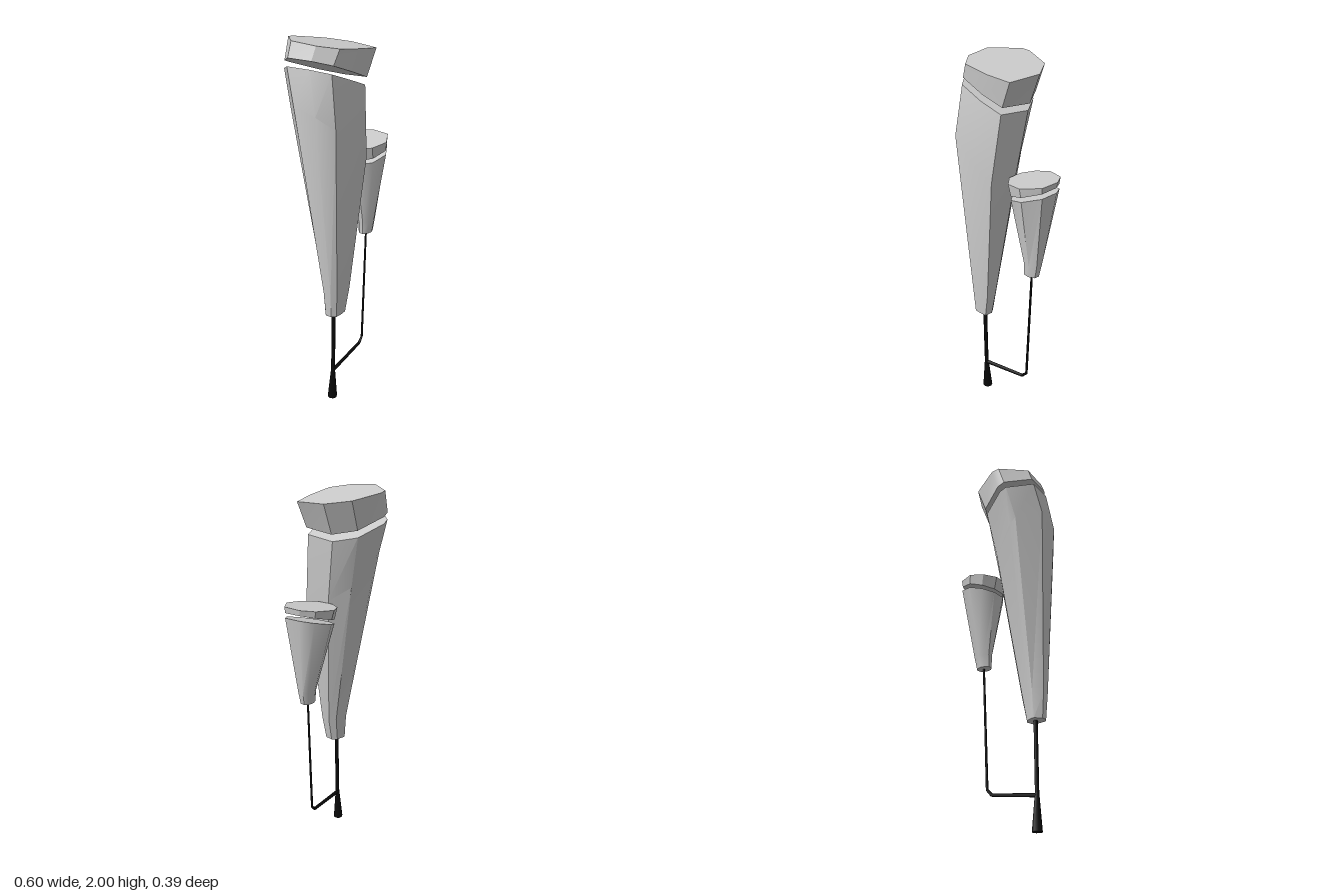
import * as THREE from 'three';
import { toCreasedNormals } from 'three/addons/utils/BufferGeometryUtils.js';

const grey = new THREE.MeshStandardMaterial({ color: 0xcccccc });
const black = new THREE.MeshStandardMaterial({ color: 0x0a0a0a });

// Irregular outlines (x, z), refitted to the bounds of every section
const LARGE = [[-0.245, -0.077], [-0.12, -0.195], [-0.075, -0.197], [0.08, -0.123], [0.142, -0.005],
  [0.105, 0.167], [-0.03, 0.174], [-0.18, 0.153], [-0.242, 0.065]];
const SMALL = [[0.04, 0.01], [0.09, -0.05], [0.165, -0.075], [0.262, -0.03], [0.297, 0.04],
  [0.28, 0.14], [0.183, 0.192], [0.09, 0.165], [0.035, 0.09]];

// Section: x and z bounds plus the tilted plane y = h + sx * x + sz * z
function ring(outline, { x, z, h, sx = 0, sz = 0 }) {
  const box = new THREE.Box2().setFromPoints(outline.map(p => new THREE.Vector2(...p)));
  return outline.map(([u, v]) => {
    const px = THREE.MathUtils.mapLinear(u, box.min.x, box.max.x, x[0], x[1]);
    const pz = THREE.MathUtils.mapLinear(v, box.min.y, box.max.y, z[0], z[1]);
    return new THREE.Vector3(px, h + sx * px + sz * pz, pz);
  });
}

// Closed solid through sections listed from bottom to top
function loft(name, outline, sections, crease) {
  const rings = sections.map(s => ring(outline, s));
  const n = outline.length, pos = [];
  const tri = (...pts) => pts.forEach(p => pos.push(p.x, p.y, p.z));
  const centre = r => r.reduce((sum, p) => sum.add(p), new THREE.Vector3()).divideScalar(n);
  const low = rings[0], top = rings[rings.length - 1];
  const lowMid = centre(low), topMid = centre(top);
  for (let i = 0; i < n; i++) {
    const j = (i + 1) % n;
    for (let k = 0; k < rings.length - 1; k++) {
      const a = rings[k], b = rings[k + 1];
      tri(a[j], a[i], b[i]);
      tri(a[j], b[i], b[j]);
    }
    tri(lowMid, low[i], low[j]);
    tri(topMid, top[j], top[i]);
  }
  const geo = new THREE.BufferGeometry();
  geo.setAttribute('position', new THREE.Float32BufferAttribute(pos, 3));
  const mesh = new THREE.Mesh(toCreasedNormals(geo, crease), grey);
  mesh.name = name;
  return mesh;
}

// Tapered rod between two points
function rod(name, from, to, r0, r1, sides = 8) {
  const a = new THREE.Vector3(...from), b = new THREE.Vector3(...to);
  const dir = b.clone().sub(a);
  const mesh = new THREE.Mesh(new THREE.CylinderGeometry(r1, r0, dir.length(), sides), black);
  mesh.position.copy(a).add(b).multiplyScalar(0.5);
  mesh.quaternion.setFromUnitVectors(new THREE.Vector3(0, 1, 0), dir.normalize());
  mesh.name = name;
  return mesh;
}

export function createModel() {
  const model = new THREE.Group();
  model.name = 'twinHeadedPlant';

  // Tall head with a floating tilted cap
  model.add(loft('largeHead', LARGE, [
    { x: [-0.2, -0.095], z: [0.05, 0.14], h: 0.56 },
    { x: [-0.212, -0.065], z: [0.04, 0.15], h: 0.7 },
    { x: [-0.3, 0.035], z: [-0.135, 0.195], h: 1.48, sx: -0.75, sz: -0.3 },
    { x: [-0.28, 0.07], z: [-0.19, 0.157], h: 1.785, sx: -0.36 },
  ], 0.6));
  model.add(loft('largeCap', LARGE, [
    { x: [-0.27, 0.08], z: [-0.195, 0.16], h: 1.825, sx: -0.36 },
    { x: [-0.245, 0.142], z: [-0.197, 0.174], h: 1.965, sx: -0.11, sz: -0.07 },
  ], 0.5));

  // Short head with its cap
  model.add(loft('smallHead', SMALL, [
    { x: [0.13, 0.22], z: [0.045, 0.115], h: 0.92 },
    { x: [0.13, 0.235], z: [0.035, 0.122], h: 0.99 },
    { x: [0.055, 0.295], z: [-0.065, 0.187], h: 1.325, sx: 0.29 },
  ], 0.7));
  model.add(loft('smallCap', SMALL, [
    { x: [0.055, 0.292], z: [-0.065, 0.187], h: 1.345, sx: 0.31 },
    { x: [0.035, 0.297], z: [-0.075, 0.192], h: 1.427, sx: 0.13 },
  ], 0.5));

  // Main stem with a flared foot
  model.add(rod('foot', [-0.15, 0, 0.085], [-0.15, 0.19, 0.09], 0.027, 0.011));
  model.add(rod('stem', [-0.15, 0.18, 0.09], [-0.148, 0.57, 0.094], 0.011, 0.011));

  // Side branch bending up to the short head
  const path = [[-0.15, 0.177, 0.088], [0.12, 0.212, 0.084], [0.15, 0.242, 0.083], [0.178, 0.93, 0.08]];
  const radii = [0.011, 0.009, 0.007, 0.006];
  for (let i = 0; i < path.length - 1; i++) {
    model.add(rod('branch' + (i + 1), path[i], path[i + 1], radii[i], radii[i + 1], 6));
  }
  return model;
}
